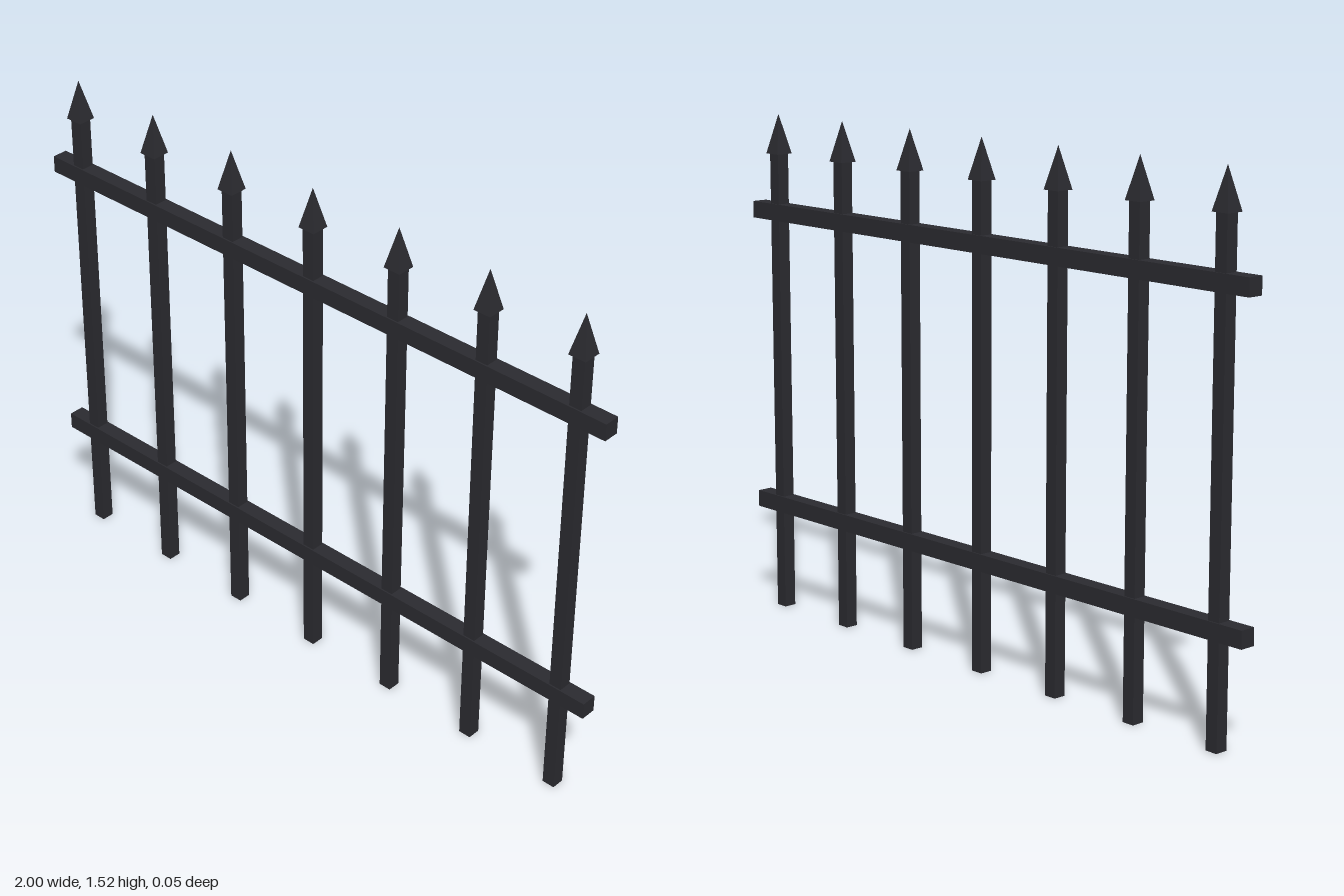
import * as THREE from 'three';

export function createModel() {
  const fence = new THREE.Group();
  fence.name = 'fence';
  const iron = new THREE.MeshStandardMaterial({ color: 0x2b2b30, flatShading: true });
  iron.name = 'dark iron';

  const add = (name, geometry, x, y) => {
    const mesh = new THREE.Mesh(geometry, iron);
    mesh.name = name;
    mesh.position.set(x, y, 0);
    fence.add(mesh);
  };

  // Two horizontal rails
  const railGeometry = new THREE.BoxGeometry(2, 0.05, 0.047);
  add('lowerRail', railGeometry, 0, 0.325);
  add('upperRail', railGeometry, 0, 1.225);

  // Seven square bars, each with a pyramid spike whose sides face the axes
  const barHeight = 1.4, spikeHeight = 0.118, spikeWidth = 0.054;
  const barGeometry = new THREE.BoxGeometry(0.038, barHeight, 0.038);
  const spikeGeometry = new THREE.ConeGeometry(spikeWidth / Math.SQRT2, spikeHeight, 4);
  spikeGeometry.rotateY(Math.PI / 4);
  for (let i = -3; i <= 3; i++) {
    add('bar', barGeometry, i * 0.3, barHeight / 2);
    add('spike', spikeGeometry, i * 0.3, barHeight + spikeHeight / 2);
  }
  return fence;
}
